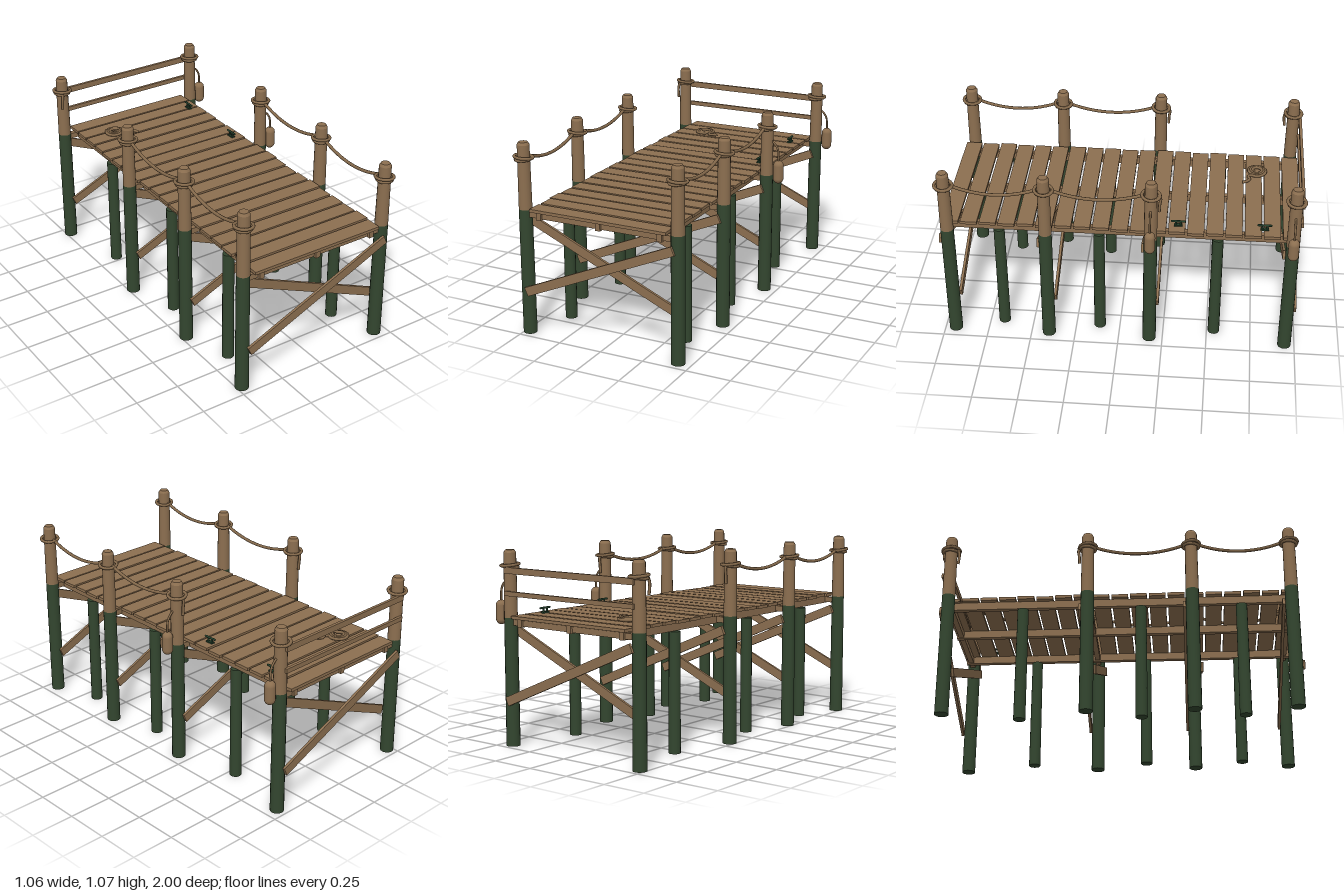
import * as THREE from 'three';

export function createModel() {
  const model = new THREE.Group();
  model.name = 'dock';
  const material = (name, color) => {
    const m = new THREE.MeshStandardMaterial({ color });
    m.name = name;
    return m;
  };
  const wood = material('weathered wood', 0x8c6f50);
  const algae = material('algae green wood', 0x33462f);
  const rope = material('rope', 0x84694b);
  const metal = material('dark green metal', 0x24402c);

  const add = (name, geometry, mat, x = 0, y = 0, z = 0, parent = model) => {
    const mesh = new THREE.Mesh(geometry, mat);
    mesh.name = name;
    mesh.position.set(x, y, z);
    parent.add(mesh);
    return mesh;
  };
  const box = (name, w, h, d, x, y, z, mat = wood, parent = model) =>
    add(name, new THREE.BoxGeometry(w, h, d), mat, x, y, z, parent);
  const cord = (name, points, radius, parent = model, segments = 20) => {
    const curve = new THREE.CatmullRomCurve3(points.map((p) => new THREE.Vector3(...p)));
    return add(name, new THREE.TubeGeometry(curve, segments, radius, 8), rope, 0, 0, 0, parent);
  };

  // Deck planks with slightly uneven ends
  let seed = 7;
  const jitter = (size) => {
    seed = (seed * 16807) % 2147483647;
    return (seed / 2147483647 - 0.5) * size;
  };
  for (let i = 0; i < 19; i++) {
    const z = -0.937 + i * 0.104;
    box('plank', 0.8 + jitter(0.012), 0.017, 0.092, -0.018 + jitter(0.014), 0.712 + jitter(0.004), z);
  }

  // Stringers along the deck
  const stringerX = [-0.375, -0.019, 0.337];
  for (const x of stringerX) box('stringer', 0.028, 0.044, 1.94, x, 0.682, 0);

  // Short piles under the outer stringers
  for (const z of [0.67, 0.115, -0.54]) {
    for (const x of [stringerX[0], stringerX[2]]) {
      add('shortPile', new THREE.CylinderGeometry(0.031, 0.033, 0.656, 14), algae, x, 0.328, z);
    }
  }

  // Tall posts: green below the deck, bare wood above, with a bevelled top
  const rows = [0.94, 0.4, -0.175, -0.943];
  const leftX = -0.471;
  const rightX = 0.427;
  const tallPost = (x, z) => {
    const post = new THREE.Group();
    post.name = 'tallPost';
    post.position.set(x, 0, z);
    add('lowerPost', new THREE.CylinderGeometry(0.0365, 0.038, 0.705, 16), algae, 0, 0.3525, 0, post);
    add('upperPost', new THREE.CylinderGeometry(0.0335, 0.0365, 0.35, 16, 1, true), wood, 0, 0.88, 0, post);
    add('postCap', new THREE.CylinderGeometry(0.025, 0.0335, 0.015, 16), wood, 0, 1.0625, 0, post);
    // Rope wound around the post
    [[0.043, 0.979, 0.06], [0.049, 0.989, -0.07]].forEach(([radius, y, tilt]) => {
      const ring = add('ropeRing', new THREE.TorusGeometry(radius, 0.0085, 8, 24), rope, 0, y, 0, post);
      ring.rotation.set(Math.PI / 2 + tilt, tilt, 0);
    });
    model.add(post);
  };

  // A frame at each row: two posts, a cross beam and a diagonal brace on either face
  const brace = (z, slope) => {
    const b = box('diagonalBrace', 0.955, 0.05, 0.015, -0.018, 0.44, z);
    b.rotation.z = slope * Math.atan2(0.38, 0.875);
  };
  for (const z of rows) {
    tallPost(leftX, z);
    tallPost(rightX, z);
    box('crossBeam', 0.88, 0.032, 0.03, -0.02, 0.681, z);
    brace(z + 0.043, 1);
    brace(z - 0.043, -1);
  }

  // Back railing
  box('topRail', 0.9, 0.034, 0.016, -0.02, 0.962, -0.982);
  box('lowerRail', 0.9, 0.025, 0.016, -0.02, 0.838, -0.982);

  // Sagging hand ropes along the front two bays of both sides
  for (const x of [leftX - 0.003, rightX - 0.002]) {
    for (let i = 0; i < 2; i++) {
      const a = rows[i] - 0.035;
      const b = rows[i + 1] + 0.035;
      const points = [];
      for (let k = 0; k <= 8; k++) {
        const t = k / 8;
        points.push([x, 0.988 - 0.19 * t * (1 - t), a + (b - a) * t]);
      }
      cord('handRope', points, 0.009);
    }
    // Loose end hanging from the last hand-rope post
    cord('ropeTail', [[x, 0.985, -0.215], [x, 0.97, -0.226], [x, 0.93, -0.222], [x, 0.885, -0.22]], 0.008);
  }
  cord('ropeTail', [[leftX - 0.02, 0.985, -0.9], [leftX - 0.025, 0.95, -0.892], [leftX - 0.025, 0.89, -0.897]], 0.008);

  // Hanging fenders
  for (const z of [rows[2], rows[3]]) {
    const fender = new THREE.Group();
    fender.name = 'fender';
    add('fenderBody', new THREE.CapsuleGeometry(0.03, 0.074, 6, 16), wood, 0.499, 0.728, z, fender);
    cord('fenderLine', [[0.45, 0.91, z], [0.475, 0.888, z], [0.493, 0.86, z], [0.499, 0.82, z], [0.499, 0.785, z]], 0.006, fender);
    model.add(fender);
  }

  // Mooring cleats
  for (const z of [-0.32, -0.79]) {
    const cleat = new THREE.Group();
    cleat.name = 'cleat';
    box('cleatBase', 0.021, 0.008, 0.045, 0.32, 0.725, z, metal, cleat);
    for (const s of [-1, 1]) {
      add('cleatLeg', new THREE.CylinderGeometry(0.005, 0.006, 0.024, 8), metal, 0.32, 0.739, z + s * 0.013, cleat);
    }
    const bar = add('cleatBar', new THREE.CapsuleGeometry(0.006, 0.07, 4, 8), metal, 0.32, 0.75, z, cleat);
    bar.rotation.x = Math.PI / 2;
    model.add(cleat);
  }

  // Coiled rope on the deck with a loose end
  const coil = [];
  for (let i = 0; i <= 42; i++) {
    const t = i / 42;
    const angle = t * Math.PI * 6 + 0.6;
    const r = 0.022 + 0.033 * t;
    coil.push([-0.238 + Math.cos(angle) * r, 0.738 - 0.008 * t, -0.745 + Math.sin(angle) * r]);
  }
  coil.push([-0.18, 0.73, -0.698], [-0.15, 0.73, -0.705], [-0.13, 0.73, -0.69], [-0.115, 0.73, -0.662]);
  cord('ropeCoil', coil, 0.0085, model, 180);

  return model;
}
